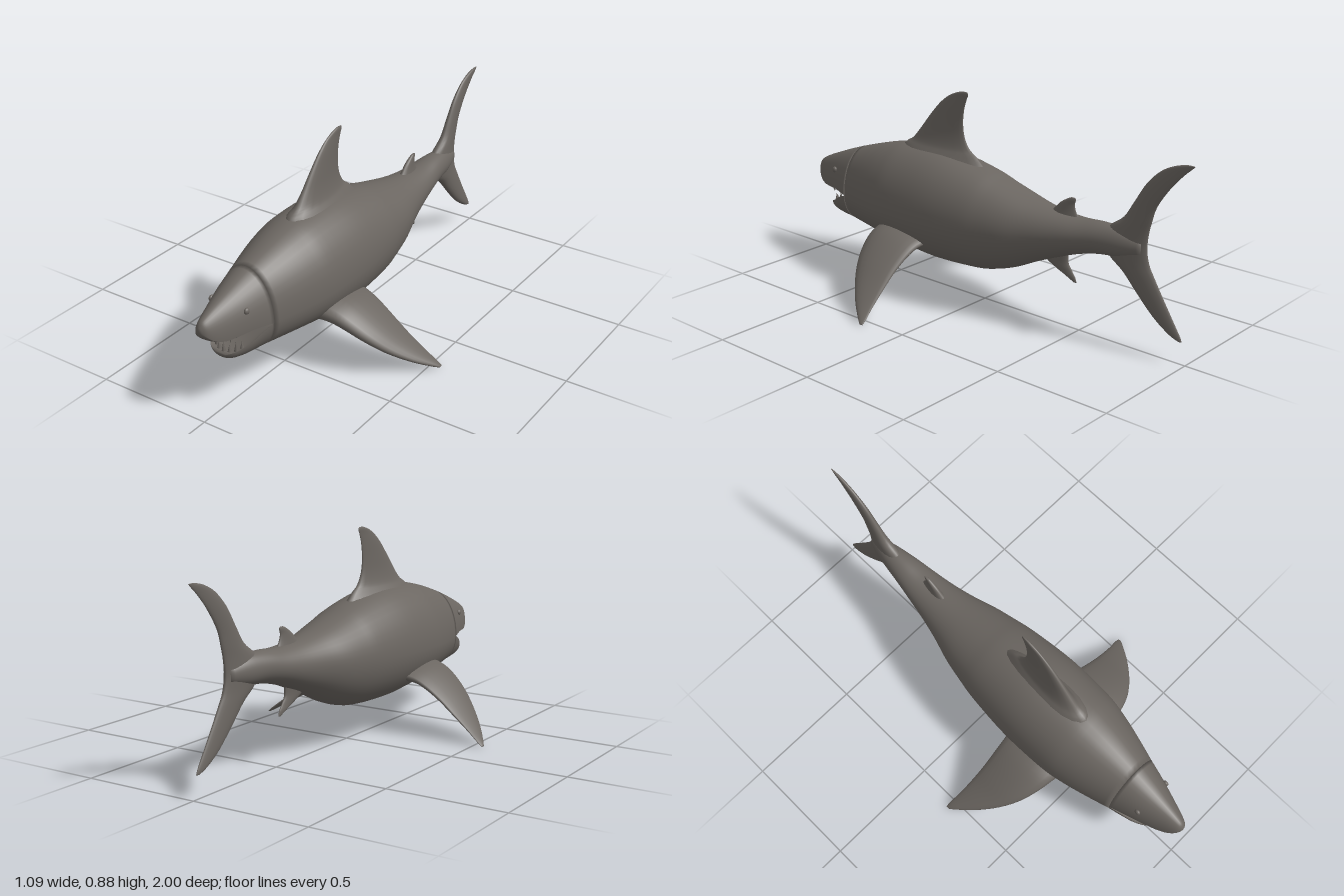
import * as THREE from 'three';

// Smoothly resamples rows of numbers, with n steps between neighbouring rows
function resample(rows, n) {
  const out = [];
  const row = i => rows[Math.max(0, Math.min(rows.length - 1, i))];
  for (let i = 0; i < rows.length - 1; i++) {
    for (let s = 0; s < n; s++) {
      const t = s / n;
      out.push(rows[i].map((b, k) => {
        const a = row(i - 1)[k], c = row(i + 1)[k], d = row(i + 2)[k];
        return b + 0.5 * t * (c - a + t * (2 * a - 5 * b + 4 * c - d + t * (3 * (b - c) + d - a)));
      }));
    }
  }
  out.push(rows[rows.length - 1]);
  return out;
}

// Skins rings that run counter-clockwise about the direction of travel; both ends are closed
function loft(rings) {
  const n = rings[0].length, pos = rings.flat(2), idx = [];
  for (let i = 0; i < rings.length - 1; i++) {
    for (let j = 0; j < n; j++) {
      const k = (j + 1) % n, a = i * n + j, b = i * n + k;
      idx.push(a, b, b + n, a, b + n, a + n);
    }
  }
  [0, rings.length - 1].forEach((r, end) => {
    const centre = pos.length / 3;
    pos.push(...[0, 1, 2].map(k => rings[r].reduce((sum, p) => sum + p[k], 0) / n));
    for (let j = 0; j < n; j++) {
      const a = r * n + j, b = r * n + (j + 1) % n;
      if (end) idx.push(centre, a, b); else idx.push(centre, b, a);
    }
  });
  const g = new THREE.BufferGeometry();
  g.setAttribute('position', new THREE.Float32BufferAttribute(pos, 3));
  g.setIndex(idx);
  g.computeVertexNormals();
  return g;
}

// Body section rows: z, top, widest height, bottom, half width
function trunk(rows) {
  return loft(resample(rows, 4).map(([z, top, mid, bottom, w]) =>
    Array.from({ length: 40 }, (_, j) => {
      const a = j / 40 * Math.PI * 2, s = Math.sin(a);
      return [w * Math.cos(a), mid + (s > 0 ? s * (top - mid) : s * (mid - bottom)), z];
    })));
}

// Fin section rows, root to tip: x, y, leading z, trailing z, half thickness
function fin(rows, side = 1) {
  const r = resample(rows, 4);
  return loft(r.map(([x, y, lead, trail, thick], i) => {
    const p = r[Math.max(0, i - 1)], q = r[Math.min(r.length - 1, i + 1)];
    const tx = (q[0] - p[0]) * side, ty = q[1] - p[1], len = Math.hypot(tx, ty) || 1;
    return Array.from({ length: 20 }, (_, j) => {
      const a = j / 20 * Math.PI * 2;
      const t = thick * Math.sin(a) * (0.85 + 0.25 * Math.cos(a));
      return [x * side + t * ty / len, y - t * tx / len,
        (lead + trail) / 2 + (lead - trail) / 2 * Math.cos(a)];
    });
  }));
}

export function createModel() {
  const model = new THREE.Group();
  const skin = new THREE.MeshStandardMaterial({ color: 0x6b6661 });
  skin.name = 'greySkin';
  const add = (name, geometry) => {
    const m = new THREE.Mesh(geometry, skin);
    m.name = name;
    model.add(m);
    return m;
  };

  // Trunk from tail stalk to the corners of the mouth
  add('body', trunk([
    [-0.79, 0.45, 0.42, 0.39, 0.02],
    [-0.70, 0.48, 0.42, 0.365, 0.045],
    [-0.60, 0.484, 0.42, 0.355, 0.063],
    [-0.50, 0.477, 0.405, 0.33, 0.08],
    [-0.40, 0.482, 0.39, 0.292, 0.098],
    [-0.30, 0.497, 0.38, 0.25, 0.122],
    [-0.20, 0.52, 0.37, 0.202, 0.152],
    [-0.10, 0.548, 0.365, 0.167, 0.173],
    [0.00, 0.578, 0.36, 0.15, 0.19],
    [0.20, 0.615, 0.355, 0.145, 0.207],
    [0.40, 0.615, 0.35, 0.163, 0.203],
    [0.50, 0.6, 0.345, 0.175, 0.188],
    [0.60, 0.575, 0.34, 0.186, 0.163],
    [0.72, 0.538, 0.335, 0.197, 0.127],
  ]));

  // Upper head with hollow palate
  add('snout', trunk([
    [0.72, 0.538, 0.335, 0.335, 0.127],
    [0.80, 0.51, 0.342, 0.36, 0.103],
    [0.87, 0.483, 0.338, 0.36, 0.08],
    [0.92, 0.463, 0.338, 0.34, 0.062],
    [0.96, 0.445, 0.352, 0.345, 0.045],
    [0.985, 0.43, 0.375, 0.362, 0.029],
    [0.997, 0.412, 0.392, 0.378, 0.013],
    [1.0, 0.4, 0.396, 0.392, 0.003],
  ]));

  // Lower jaw with hollow floor
  add('lowerJaw', trunk([
    [0.72, 0.335, 0.335, 0.197, 0.127],
    [0.77, 0.29, 0.315, 0.202, 0.112],
    [0.82, 0.262, 0.287, 0.209, 0.093],
    [0.86, 0.252, 0.268, 0.217, 0.07],
    [0.88, 0.255, 0.258, 0.226, 0.05],
    [0.89, 0.248, 0.245, 0.238, 0.022],
  ]));

  // Teeth along both jaws
  for (let i = -3; i <= 3; i++) {
    const a = i * 0.42, len = i % 2 ? 0.034 : 0.045;
    const upper = add('upperTooth', new THREE.ConeGeometry(0.009, len, 8));
    upper.position.set(0.058 * Math.sin(a), 0.346 - len / 2, 0.835 + 0.065 * Math.cos(a));
    upper.rotation.x = Math.PI;
    const lower = add('lowerTooth', new THREE.ConeGeometry(0.009, len, 8));
    lower.position.set(0.062 * Math.sin(a + 0.1), 0.25 + len / 2 + 0.003 * Math.abs(i), 0.815 + 0.06 * Math.cos(a));
  }

  // Eyes
  for (const side of [1, -1]) {
    const eye = add(side > 0 ? 'leftEye' : 'rightEye', new THREE.SphereGeometry(0.013, 16, 12));
    eye.position.set(side * 0.083, 0.425, 0.825);
    eye.scale.x = 0.7;
  }

  // Back fin, flaring into the body
  add('dorsalFin', fin([
    [0, 0.55, 0.48, -0.02, 0.11],
    [0, 0.61, 0.45, 0.045, 0.062],
    [0, 0.64, 0.405, 0.085, 0.042],
    [0, 0.69, 0.36, 0.112, 0.028],
    [0, 0.75, 0.31, 0.12, 0.02],
    [0, 0.81, 0.255, 0.113, 0.014],
    [0, 0.85, 0.205, 0.1, 0.009],
    [0, 0.872, 0.16, 0.091, 0.007],
    [0, 0.882, 0.125, 0.097, 0.003],
  ]));

  // Side fins
  for (const side of [1, -1]) {
    add(side > 0 ? 'leftPectoralFin' : 'rightPectoralFin', fin([
      [0.12, 0.255, 0.48, 0.18, 0.06],
      [0.20, 0.242, 0.465, 0.195, 0.05],
      [0.26, 0.215, 0.45, 0.2, 0.042],
      [0.33, 0.168, 0.42, 0.203, 0.033],
      [0.40, 0.113, 0.37, 0.2, 0.024],
      [0.47, 0.06, 0.3, 0.193, 0.015],
      [0.52, 0.022, 0.235, 0.184, 0.009],
      [0.543, 0.004, 0.2, 0.183, 0.004],
    ], side));
  }

  // Crescent tail
  add('tailFin', fin([
    [0, 0.092, -0.965, -0.98, 0.005],
    [0, 0.11, -0.922, -0.973, 0.011],
    [0, 0.16, -0.85, -0.942, 0.017],
    [0, 0.24, -0.77, -0.892, 0.022],
    [0, 0.31, -0.705, -0.85, 0.026],
    [0, 0.36, -0.64, -0.823, 0.031],
    [0, 0.42, -0.6, -0.81, 0.036],
    [0, 0.48, -0.635, -0.814, 0.031],
    [0, 0.53, -0.7, -0.825, 0.025],
    [0, 0.60, -0.745, -0.847, 0.02],
    [0, 0.68, -0.795, -0.9, 0.016],
    [0, 0.74, -0.855, -0.953, 0.011],
    [0, 0.772, -0.915, -0.988, 0.008],
    [0, 0.785, -0.965, -1.0, 0.004],
  ]));

  // Small rear fins above and below the tail stalk
  add('rearDorsalFin', fin([
    [0, 0.455, -0.33, -0.5, 0.026],
    [0, 0.49, -0.365, -0.475, 0.018],
    [0, 0.52, -0.395, -0.465, 0.013],
    [0, 0.54, -0.425, -0.47, 0.009],
    [0, 0.55, -0.445, -0.468, 0.005],
  ]));
  add('analFin', fin([
    [0, 0.32, -0.3, -0.44, 0.03],
    [0, 0.275, -0.325, -0.44, 0.022],
    [0, 0.245, -0.375, -0.458, 0.015],
    [0, 0.22, -0.43, -0.475, 0.01],
    [0, 0.2, -0.468, -0.482, 0.004],
  ]));

  return model;
}
